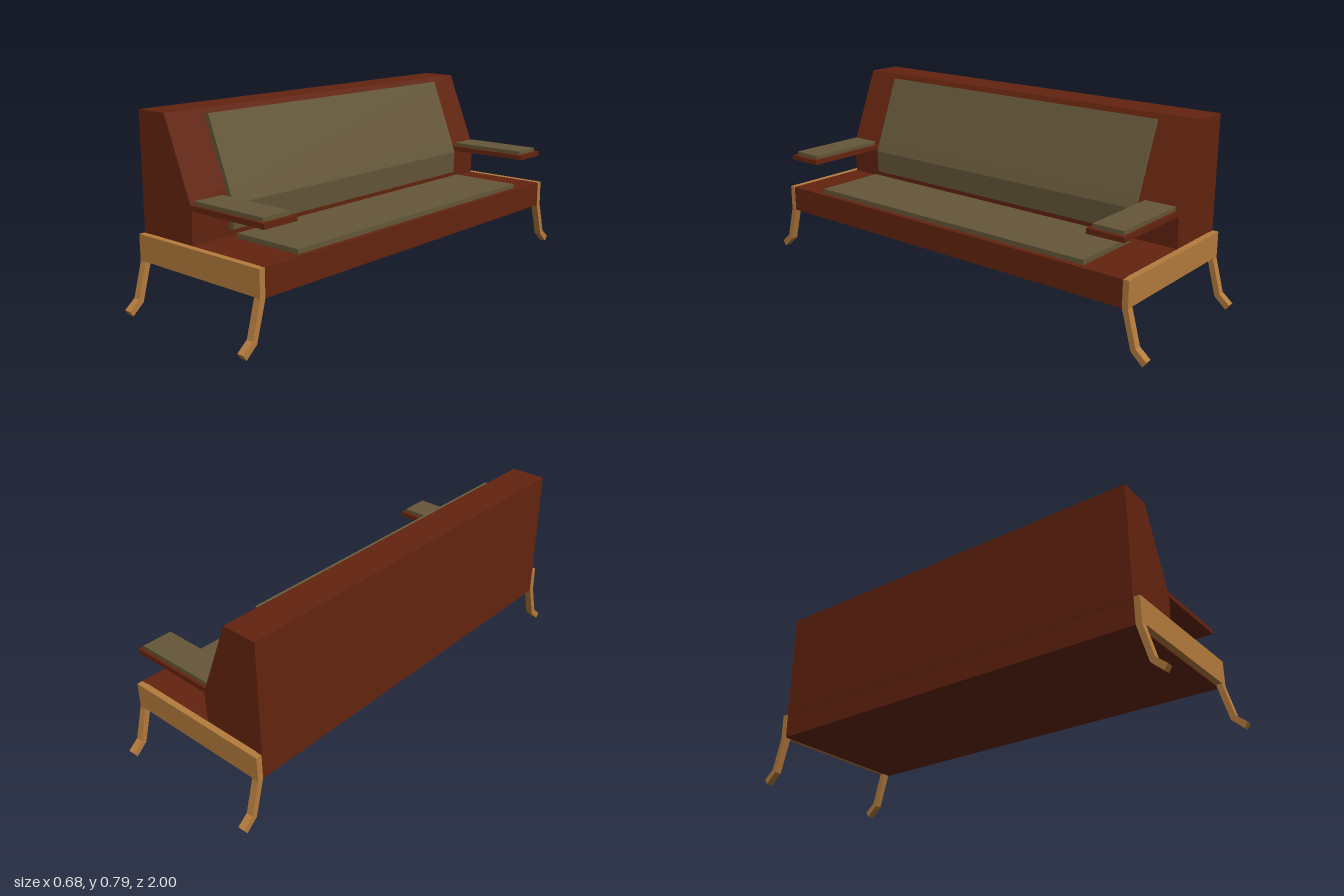
import * as THREE from 'three';

const mat = (name, color) => {
  const m = new THREE.MeshStandardMaterial({ color });
  m.name = name;
  return m;
};

export function createModel() {
  const red = mat('redBrown', 0x64240f);
  const wood = mat('wood', 0xb57c3d);
  const olive = mat('oliveFabric', 0x655739);
  const sofa = new THREE.Group();
  sofa.name = 'sofa';

  const add = (name, geometry, material) => {
    const mesh = new THREE.Mesh(geometry, material);
    mesh.name = name;
    sofa.add(mesh);
    return mesh;
  };
  // Box given by its limits on each axis
  const box = (name, material, [x0, x1], [y0, y1], [z0, z1]) =>
    add(name, new THREE.BoxGeometry(x1 - x0, y1 - y0, z1 - z0), material)
      .position.set((x0 + x1) / 2, (y0 + y1) / 2, (z0 + z1) / 2);
  // Flat outline extruded and centred along its depth
  const slab = (points, depth) => {
    const shape = new THREE.Shape(points.map(([x, y]) => new THREE.Vector2(x, y)));
    return new THREE.ExtrudeGeometry(shape, { depth, bevelEnabled: false }).translate(0, 0, -depth / 2);
  };

  // Seat base and its long pad
  box('seatBase', red, [-0.338, 0.338], [0.2, 0.31], [-0.89, 0.89]);
  box('seatPad', olive, [-0.01, 0.315], [0.308, 0.33], [-0.71, 0.71]);

  // Sloping backrest and the bent cushion that follows it
  add('backrest', slab([
    [-0.34, 0.305], [-0.052, 0.305], [-0.047, 0.44], [-0.055, 0.465], [-0.187, 0.79], [-0.34, 0.79],
  ], 1.78), red);
  add('backCushion', slab([
    [-0.052, 0.333], [-0.029, 0.34], [-0.025, 0.44], [-0.04, 0.48],
    [-0.155, 0.773], [-0.179, 0.768], [-0.056, 0.465], [-0.048, 0.44],
  ], 1.42), olive);

  // Leg outline, x standing for the outward direction
  const leg = [
    [0.892, 0.31], [0.892, 0.2], [0.935, 0.045], [0.985, 0],
    [1, 0.022], [0.955, 0.06], [0.917, 0.2], [0.917, 0.31],
  ];

  for (const s of [1, -1]) {
    const side = s > 0 ? 'Front' : 'Rear';
    const span = (a, b) => (s > 0 ? [a, b] : [-b, -a]);
    // Armrest with pad, and wooden end rail
    box('armrest' + side, red, [-0.055, 0.337], [0.442, 0.463], span(0.73, 0.89));
    box('armPad' + side, olive, [-0.045, 0.319], [0.462, 0.479], span(0.745, 0.877));
    box('endRail' + side, wood, [-0.309, 0.309], [0.204, 0.31], span(0.89, 0.917));
    // Bent legs at both corners
    for (const x of [-0.3245, 0.3225]) {
      const mesh = add('leg' + side + (x > 0 ? 'Left' : 'Right'), slab(leg, 0.031), wood);
      mesh.rotation.y = -s * Math.PI / 2;
      mesh.position.x = x;
    }
  }
  return sofa;
}
